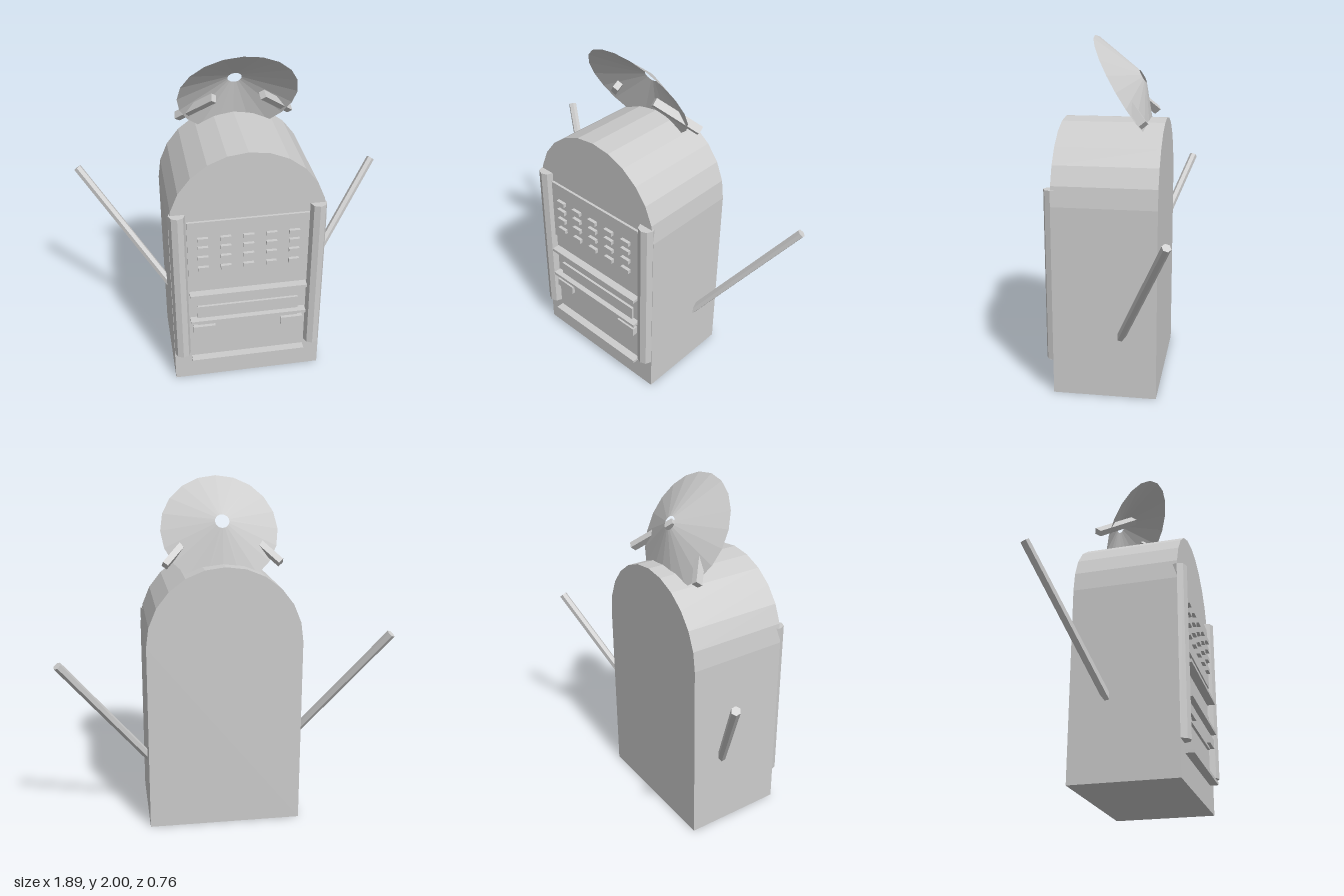
import * as THREE from 'three';

export function createModel() {
  const model = new THREE.Group();
  const grey = new THREE.MeshStandardMaterial({ color: 0xcccccc, flatShading: true });
  grey.name = 'grey';
  const greyOpen = new THREE.MeshStandardMaterial({ color: 0xcccccc, flatShading: true, side: THREE.DoubleSide });
  greyOpen.name = 'grey open surface';

  const add = (name, geometry, x = 0, y = 0, z = 0, material = grey) => {
    const mesh = new THREE.Mesh(geometry, material);
    mesh.name = name;
    mesh.position.set(x, y, z);
    model.add(mesh);
    return mesh;
  };
  // box given by its centre in x and y and its back and front in z
  const plate = (name, x, y, w, h, z0, z1) =>
    add(name, new THREE.BoxGeometry(w, h, z1 - z0), x, y, (z0 + z1) / 2);
  // aims a mesh's local y axis from a to b
  const span = (mesh, a, b) => {
    mesh.position.copy(a).lerp(b, 0.5);
    mesh.quaternion.setFromUnitVectors(new THREE.Vector3(0, 1, 0), b.clone().sub(a).normalize());
  };

  // Arched body
  const R = 0.445, BACK = -0.26, FRONT = 0.33;
  const outline = [new THREE.Vector2(-R, 0), new THREE.Vector2(R, 0)];
  for (let i = 0; i <= 12; i++) {
    const a = (i / 12) * Math.PI;
    outline.push(new THREE.Vector2(R * Math.cos(a), 1.1 + 0.44 * Math.sin(a)));
  }
  add('body', new THREE.ExtrudeGeometry(new THREE.Shape(outline), { depth: FRONT - BACK, bevelEnabled: false }), 0, 0, BACK);

  // Octagonal corner columns
  for (const s of [-1, 1]) {
    add('cornerColumn', new THREE.CylinderGeometry(0.047, 0.047, 0.99, 8), s * 0.396, 0.695, FRONT);
  }

  // Control panel with rows of keys
  plate('controlPanel', 0, 0.945, 0.69, 0.39, 0.32, 0.345);
  for (const y of [1.03, 0.97, 0.905, 0.835]) {
    for (let c = -2; c <= 2; c++) plate('key', c * 0.13, y, 0.06, 0.025, 0.34, 0.365);
  }

  // Horizontal bars
  for (const y of [0.65, 0.46, 0.16]) plate('bar', 0, y, 0.685, 0.018, 0.325, 0.378);

  // Lower drawer and its blocks
  plate('drawer', 0, 0.45, 0.6, 0.2, 0.32, 0.345);
  for (const s of [-1, 1]) plate('drawerBlock', s * 0.263, 0.39, 0.13, 0.052, 0.32, 0.365);

  // Raised arms, swept back
  const arms = [
    [new THREE.Vector3(0.41, 0.33, -0.045), new THREE.Vector3(0.925, 1.05, -0.355)],
    [new THREE.Vector3(-0.41, 0.42, -0.045), new THREE.Vector3(-0.925, 1.155, -0.355)],
  ];
  arms.forEach(([a, b], i) => {
    const arm = add(i ? 'rightArm' : 'leftArm', new THREE.CylinderGeometry(0.025, 0.025, a.distanceTo(b), 6));
    span(arm, a, b);
  });

  // Open conical dish with a hole at its tip
  const tilt = -1.04, depth = 0.121;
  const cone = new THREE.CylinderGeometry(0.04, 0.336, depth, 20, 1, true);
  cone.translate(0, depth / 2, 0);
  add('dish', cone, 0, 1.71, -0.015, greyOpen).rotation.x = tilt;

  // Prongs passing through the dish
  for (const s of [-1, 1]) {
    const a = new THREE.Vector3(s * 0.135, 1.71, 0);
    const b = new THREE.Vector3(s * 0.325, 1.54, -0.165);
    const prong = add('dishProng', new THREE.BoxGeometry(0.045, a.distanceTo(b), 0.035));
    span(prong, a, b);
  }
  return model;
}
